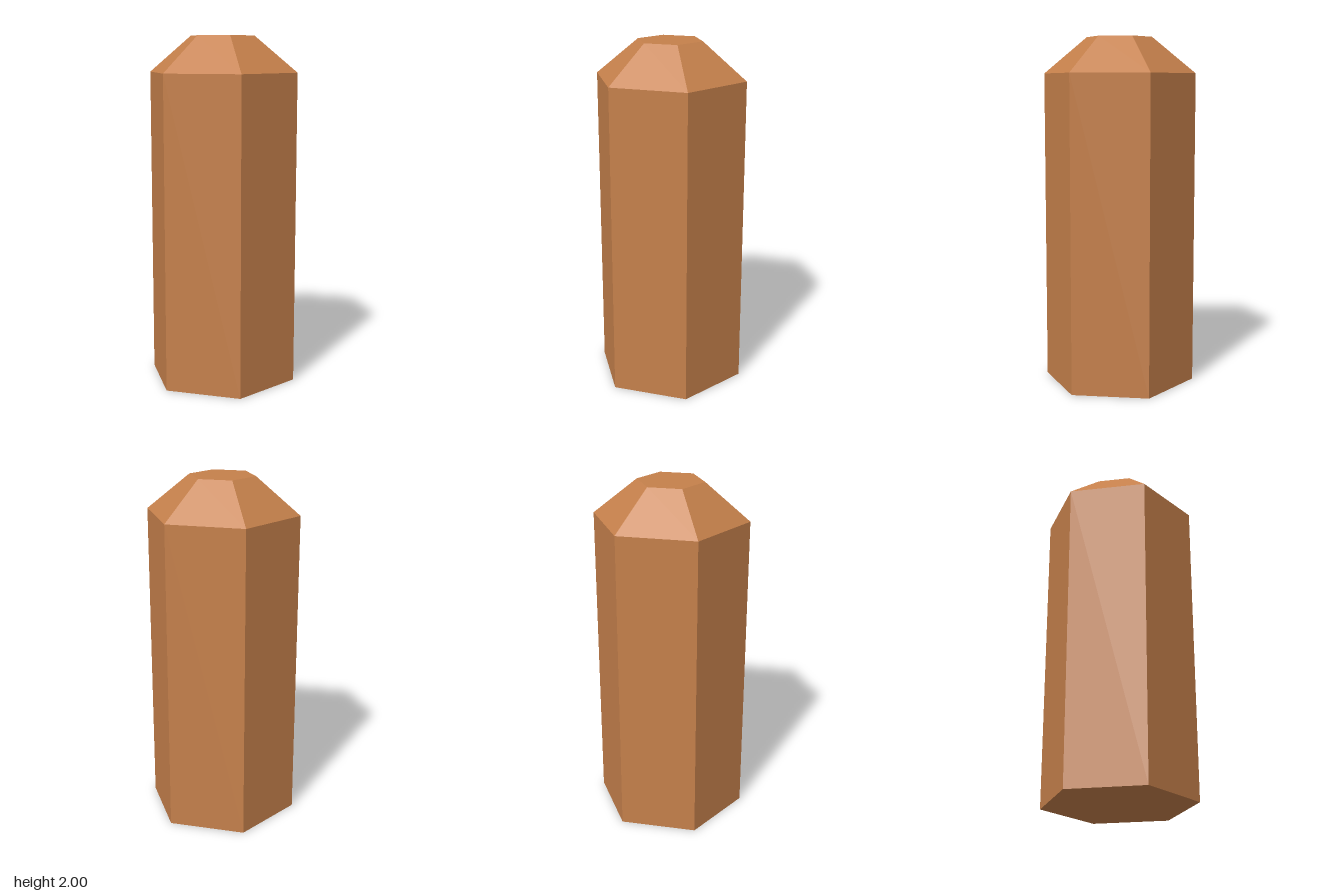
import * as THREE from 'three';

const SIDES = 6;
const RADIUS = 0.438; // corner radius of the prism
const TOP_RADIUS = 0.188; // corner radius of the flat top
const SHOULDER = 1.795; // height where the bevel starts
const HEIGHT = 2;

// Six-sided turned part from [radius, y] points, listed bottom to top
function hexPart(name, profile, material) {
  const points = profile.map(([r, y]) => new THREE.Vector2(r, y));
  const mesh = new THREE.Mesh(new THREE.LatheGeometry(points, SIDES), material);
  mesh.name = name;
  return mesh;
}

export function createModel() {
  const group = new THREE.Group();
  group.name = 'hexagonalPost';

  const copper = new THREE.MeshStandardMaterial({ color: 0xc5804b });
  copper.name = 'copper brown';
  copper.flatShading = true;

  // Straight column, closed underneath
  group.add(hexPart('column', [[0, 0], [RADIUS, 0], [RADIUS, SHOULDER]], copper));
  // Bevelled top with a flat end
  group.add(hexPart('bevelledTop', [[RADIUS, SHOULDER], [TOP_RADIUS, HEIGHT], [0, HEIGHT]], copper));

  return group;
}
